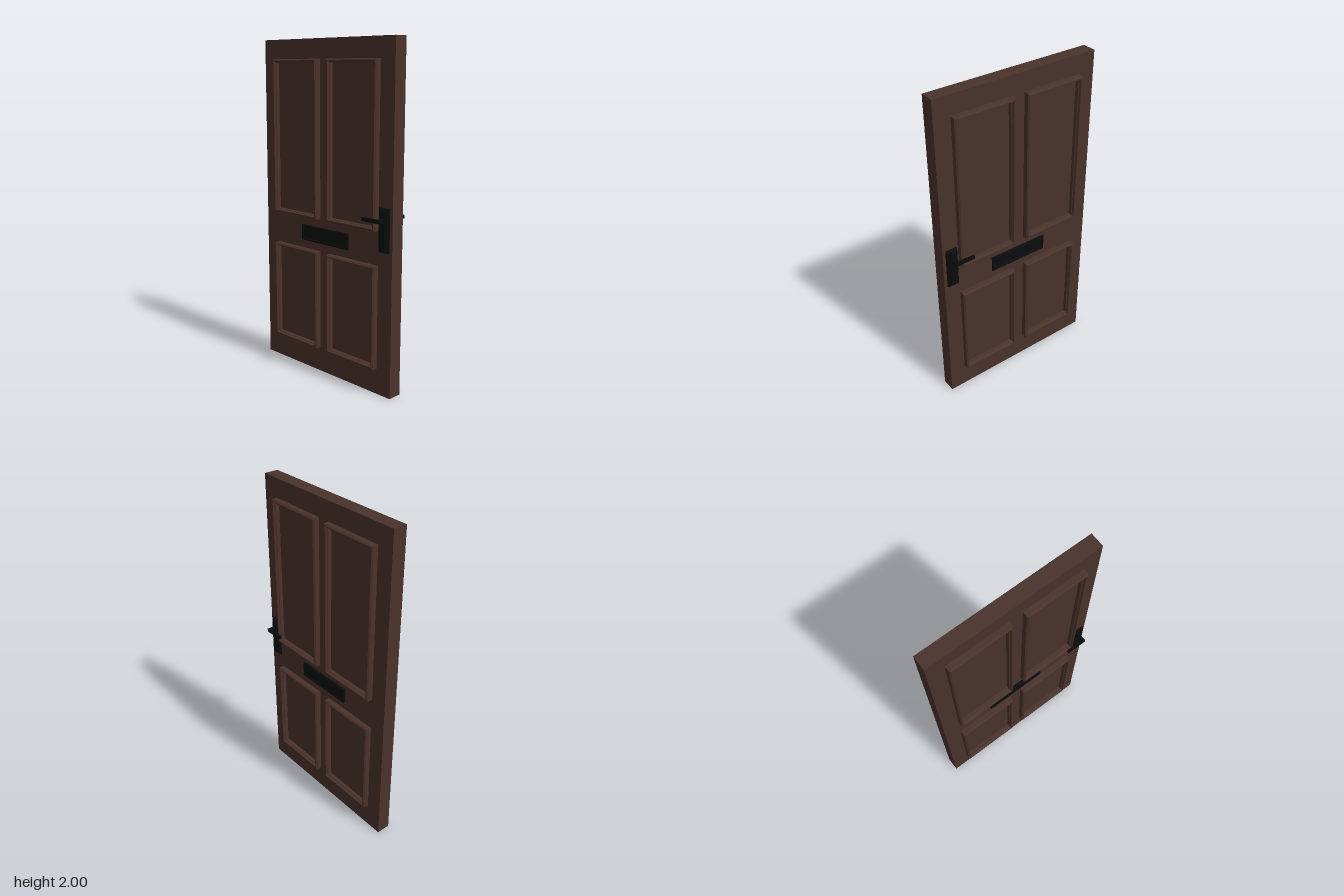
import * as THREE from 'three';

const wood = new THREE.MeshStandardMaterial({ color: 0x4a322c, flatShading: true });
const iron = new THREE.MeshStandardMaterial({ color: 0x0b0c0d, flatShading: true });

// Mitred rectangular moulding: profile is a list of [inset, z] steps from outside in.
function moulding(w, h, profile, capped = false) {
  const rings = profile.map(([inset, z]) => {
    const x = w / 2 - inset, y = h / 2 - inset;
    return [[-x, -y, z], [x, -y, z], [x, y, z], [-x, y, z]];
  });
  const pos = [];
  const quad = (a, b, c, d) => pos.push(...a, ...b, ...c, ...a, ...c, ...d);
  for (let i = 0; i < rings.length - 1; i++) {
    for (let j = 0; j < 4; j++) {
      const k = (j + 1) % 4;
      quad(rings[i][j], rings[i][k], rings[i + 1][k], rings[i + 1][j]);
    }
  }
  if (capped) quad(...rings[rings.length - 1]);
  const geometry = new THREE.BufferGeometry();
  geometry.setAttribute('position', new THREE.Float32BufferAttribute(pos, 3));
  geometry.computeVertexNormals();
  return geometry;
}

export function createModel() {
  const door = new THREE.Group();
  door.name = 'door';

  function add(parent, name, geometry, material, x, y, z = 0, side = 1) {
    const mesh = new THREE.Mesh(geometry, material);
    mesh.name = name;
    mesh.position.set(x, y, z);
    if (side < 0) mesh.rotation.y = Math.PI;
    parent.add(mesh);
  }

  // Slab
  const face = 0.0425;
  add(door, 'slab', new THREE.BoxGeometry(1.034, 2, face * 2), wood, 0, 1);

  for (const side of [1, -1]) {
    const prefix = side > 0 ? 'front' : 'back';

    // Four raised panel frames
    const frameProfile = [[0, 0.04], [0, 0.072], [0.008, 0.08], [0.014, 0.08], [0.018, 0.068], [0.022, 0.064], [0.022, 0.04]];
    for (const [level, bottom, top] of [['Upper', 0.957, 1.886], ['Lower', 0.152, 0.76]]) {
      for (const sx of [-1, 1]) {
        add(door, `${prefix}${level}PanelFrame`, moulding(0.376, top - bottom, frameProfile),
          wood, sx * 0.228, (bottom + top) / 2, 0, side);
      }
    }

    // Letter slot with a slightly sunk flap
    const slotProfile = [[0, 0.04], [0, 0.052], [0.004, 0.0555], [0.012, 0.0555], [0.015, 0.05]];
    add(door, `${prefix}LetterSlot`, moulding(0.38, 0.095, slotProfile, true), iron, 0, 0.857, 0, side);

    // Handle: bevelled back plate, spindle and lever
    const handle = new THREE.Group();
    handle.name = `${prefix}Handle`;
    door.add(handle);
    const plateProfile = [[0, 0.04], [0, 0.054], [0.018, 0.068]];
    add(handle, 'backPlate', moulding(0.07, 0.248, plateProfile, true), iron, 0.463, 0.968, 0, side);
    add(handle, 'spindle', new THREE.BoxGeometry(0.022, 0.02, 0.055), iron, 0.464, 1.025, side * 0.0825);
    add(handle, 'lever', new THREE.BoxGeometry(0.125, 0.02, 0.015), iron, 0.4125, 1.025, side * 0.1025);
  }
  return door;
}
